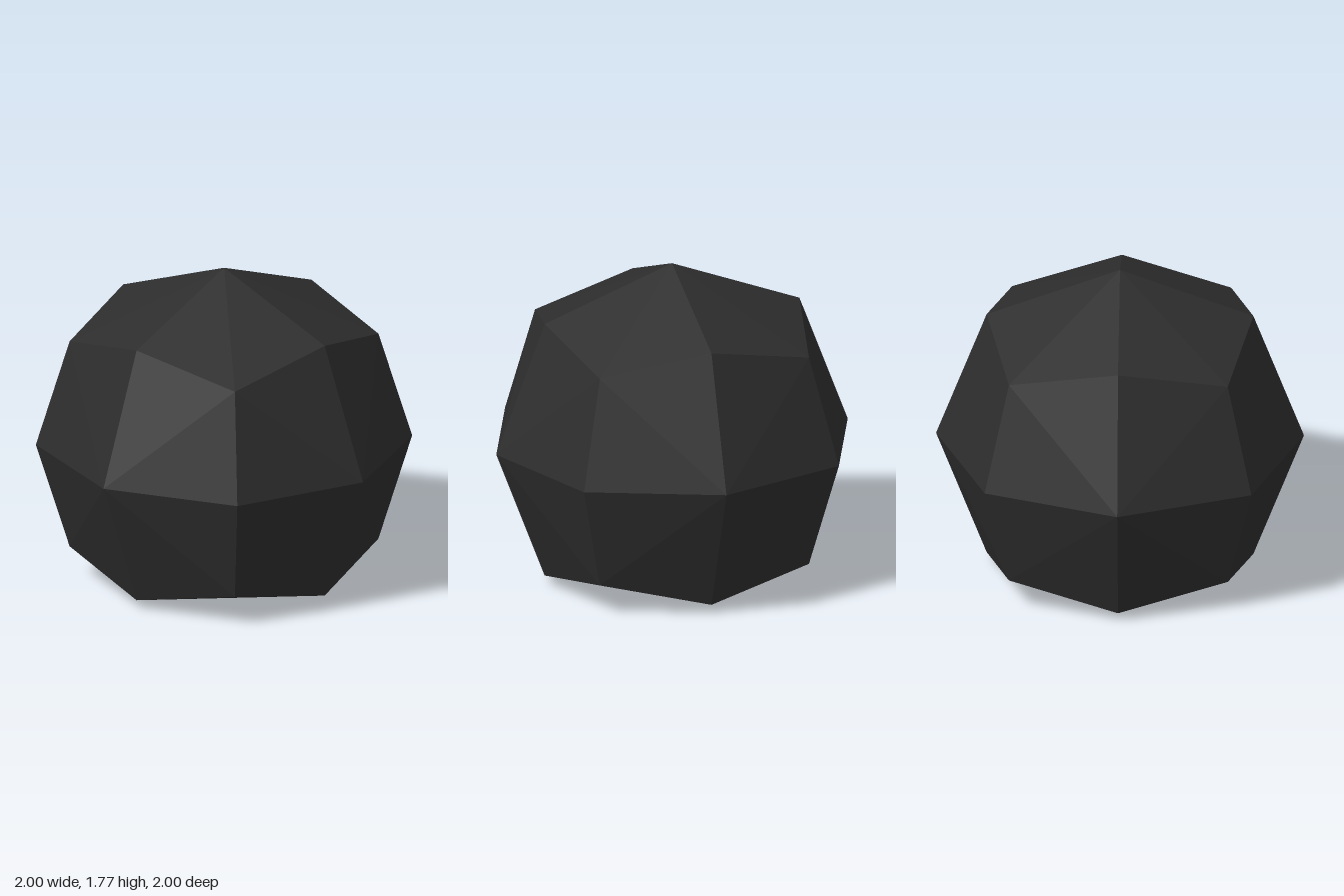
import * as THREE from 'three';
import { ConvexGeometry } from 'three/addons/geometries/ConvexGeometry.js';

const CENTRE_Y = 0.775;
// Distance from the centre along each used axis: face centre, edge middle, corner
const REACH = [0, 1, 0.725, 0.595];

export function createModel() {
  const group = new THREE.Group();
  const charcoal = new THREE.MeshStandardMaterial({ color: 0x2d2d2d });
  charcoal.name = 'charcoal';
  charcoal.flatShading = true;

  // A cube split two by two per side and puffed out towards a ball
  const points = [];
  for (let x = -1; x <= 1; x++) {
    for (let y = -1; y <= 1; y++) {
      for (let z = -1; z <= 1; z++) {
        const axes = Math.abs(x) + Math.abs(y) + Math.abs(z);
        if (axes === 0) continue;
        const p = new THREE.Vector3(x, y, z).multiplyScalar(REACH[axes]);
        p.y = Math.max(p.y + CENTRE_Y, 0); // flattened underside
        points.push(p);
      }
    }
  }

  const boulder = new THREE.Mesh(new ConvexGeometry(points), charcoal);
  boulder.name = 'boulder';
  group.add(boulder);
  return group;
}
